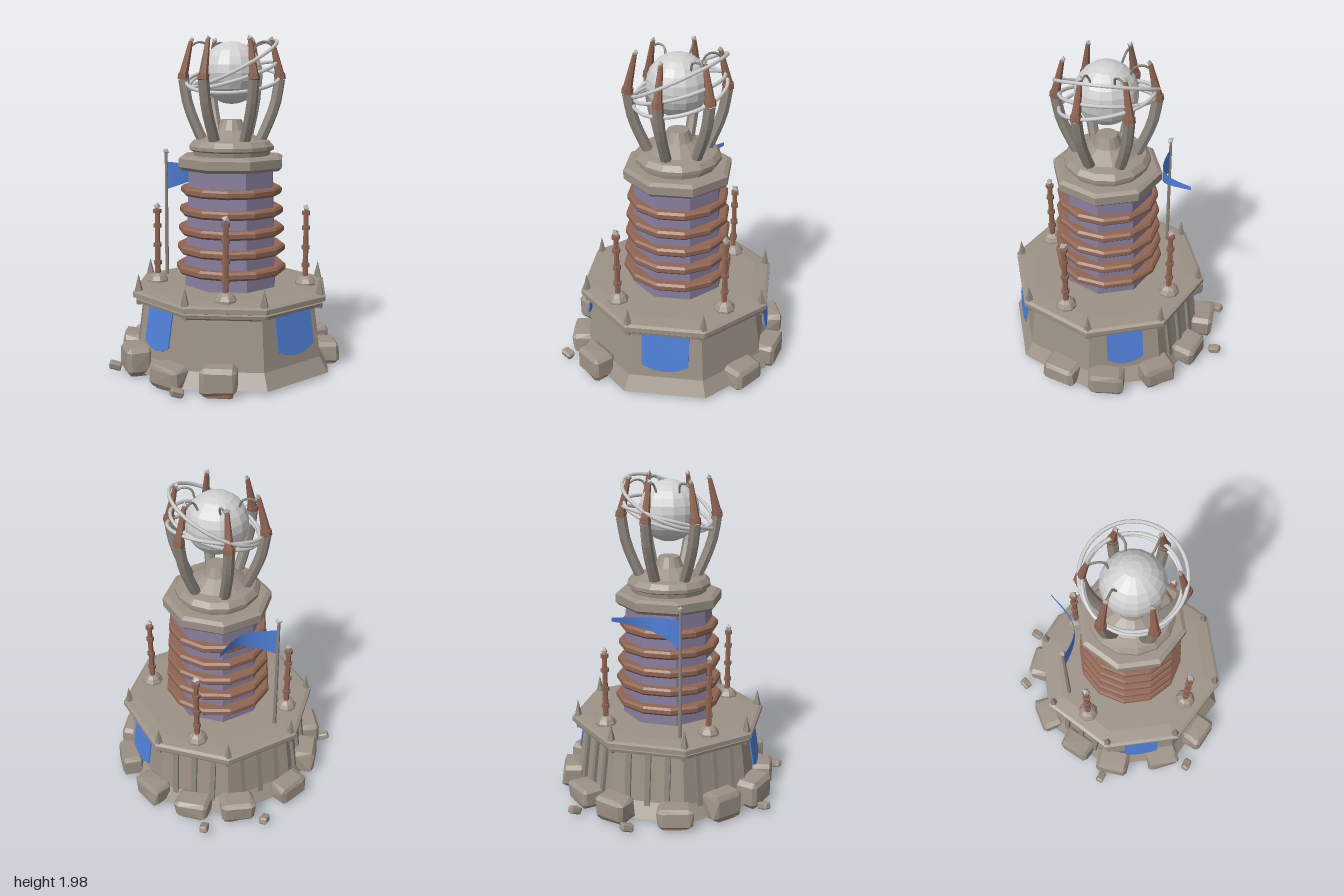
import * as THREE from 'three';
import { ConvexGeometry } from 'three/addons/geometries/ConvexGeometry.js';

const V = (x, y, z) => new THREE.Vector3(x, y, z);

export function createModel() {
  const mat = (name, color, side = THREE.FrontSide) => {
    const m = new THREE.MeshStandardMaterial({ color, side });
    m.name = name;
    return m;
  };
  const stone = mat('stone', 0x9c9186, THREE.DoubleSide);
  const darkStone = mat('dark stone', 0x8e867d);
  const copper = mat('copper', 0x8f6553);
  const purple = mat('purple wall', 0x897e9e);
  const blue = mat('blue cloth', 0x4f7fd6, THREE.DoubleSide);
  const silver = mat('silver', 0xcfcfcf);
  const crystal = mat('pale tip', 0xb2b0ac);

  const model = new THREE.Group();
  model.name = 'tower';
  const root = new THREE.Group(); // everything is laid out round the tower axis
  root.name = 'towerBody';
  root.position.set(0.02, 0, 0.083);
  model.add(root);

  let seed = 7;
  const rnd = () => (seed = (seed * 16807) % 2147483647) / 2147483647;

  const flat = (g) => {
    const f = g.index ? g.toNonIndexed() : g;
    f.computeVertexNormals();
    return f;
  };
  const add = (name, geo, material, parent = root) => {
    const m = new THREE.Mesh(geo, material);
    m.name = name;
    parent.add(m);
    return m;
  };
  // turned shape with flat facets; radii are measured to the flats
  const turned = (name, pts, sides, material, parent = root) => {
    const k = 1 / Math.cos(Math.PI / sides);
    const p = pts.map(([r, y]) => new THREE.Vector2(r * k, y));
    return add(name, flat(new THREE.LatheGeometry(p, sides, Math.PI / sides)), material, parent);
  };
  const rod = (name, a, b, r0, r1, sides, material, parent = root) => {
    const m = add(name, flat(new THREE.CylinderGeometry(r1, r0, a.distanceTo(b), sides)), material, parent);
    m.position.copy(a).lerp(b, 0.5);
    m.quaternion.setFromUnitVectors(V(0, 1, 0), b.clone().sub(a).normalize());
    return m;
  };
  const nugget = (name, p, r, h, parent = root) => {
    const m = add(name, flat(new THREE.OctahedronGeometry(1)), crystal, parent);
    m.scale.set(r, h, r * 0.8);
    m.position.copy(p);
    m.rotation.set(0.25, rnd() * 3, 0.2);
    return m;
  };

  // hollow octagonal base and stepped deck
  turned('baseWall', [[0.59, 0.03], [0.54, 0.12], [0.502, 0.42]], 8, stone);
  turned('deck', [[0, 0.405], [0.5, 0.405], [0.545, 0.425], [0.55, 0.445], [0.535, 0.45], [0.568, 0.46],
    [0.568, 0.487], [0.55, 0.497], [0.47, 0.505], [0, 0.508]], 8, stone);

  // spikes and little brackets at the deck corners
  for (let i = 0; i < 8; i++) {
    const a = (i + 0.5) * Math.PI / 4;
    const s = Math.sin(a), c = Math.cos(a);
    rod('deckSpike', V(s * 0.578, 0.485, c * 0.578), V(s * 0.578, 0.595, c * 0.578), 0.028, 0.001, 5, darkStone);
    const b = add('deckBracket', new THREE.BoxGeometry(0.03, 0.03, 0.03), darkStone);
    b.position.set(s * 0.575, 0.43, c * 0.575);
    b.rotation.y = a;
  }

  // upright ribs on the three back faces
  for (const a of [Math.PI * 0.75, Math.PI, Math.PI * 1.25]) {
    const face = new THREE.Group();
    face.name = 'ribbedFace';
    face.rotation.y = a;
    root.add(face);
    for (const x of [-0.12, 0, 0.12]) {
      const r = add('wallRib', new THREE.BoxGeometry(0.032, 0.31, 0.03), darkStone, face);
      r.position.set(x, 0.255, 0.528);
      r.rotation.x = -0.126;
    }
  }

  // hanging banners on the front and both sides
  for (const [a, w] of [[0, 0.14], [Math.PI / 2, 0.11], [-Math.PI / 2, 0.11]]) {
    const s = new THREE.Shape([[-w, 0], [-w, -0.195], [-w * 0.5, -0.225], [0, -0.235], [w * 0.5, -0.225],
      [w, -0.195], [w, 0]].map(([x, y]) => new THREE.Vector2(x, y)));
    const holder = new THREE.Group();
    holder.name = 'bannerHolder';
    holder.rotation.y = a;
    root.add(holder);
    const b = add('banner', new THREE.ExtrudeGeometry(s, { depth: 0.008, bevelEnabled: false }), blue, holder);
    b.position.set(0, 0.42, 0.53);
    b.rotation.x = -0.16;
  }

  // purple shaft with copper bands
  turned('shaft', [[0.268, 0.5], [0.246, 1.22]], 8, purple);
  [[0.61, 0.322], [0.73, 0.316], [0.845, 0.309], [0.96, 0.302], [1.08, 0.294]].forEach(([y, r]) =>
    turned('copperBand', [[r - 0.07, y - 0.025], [r - 0.012, y - 0.025], [r, y - 0.012], [r, y + 0.012],
      [r - 0.012, y + 0.025], [r - 0.07, y + 0.025]], 12, copper));

  // octagonal cap, round collar and pedestal
  turned('cap', [[0.24, 1.205], [0.285, 1.205], [0.304, 1.225], [0.304, 1.275], [0.28, 1.29], [0, 1.295]], 8, stone);
  turned('collar', [[0.225, 1.285], [0.23, 1.315], [0.25, 1.325], [0.25, 1.345], [0.225, 1.375], [0.17, 1.385],
    [0.085, 1.44], [0.06, 1.5], [0, 1.5]], 14, stone);

  // globe and its tilted hoops
  const globe = add('globe', flat(new THREE.SphereGeometry(0.184, 16, 12)), silver);
  globe.position.set(0, 1.775, 0);
  [[0.29, 1.83, V(-0.5, 1, -0.2)], [0.275, 1.735, V(-0.22, 1, 0.16)], [0.265, 1.76, V(-0.3, 1, -0.1)]]
    .forEach(([r, y, n]) => {
      const h = add('hoop', new THREE.TorusGeometry(r, 0.011, 6, 40), silver);
      h.position.set(0.01, y, 0);
      h.quaternion.setFromUnitVectors(V(0, 0, 1), n.normalize());
    });

  // six bent arms round the globe
  for (let i = 0; i < 6; i++) {
    const arm = new THREE.Group();
    arm.name = 'arm';
    arm.rotation.y = THREE.MathUtils.degToRad(15 - i * 60);
    root.add(arm);
    const path = new THREE.CatmullRomCurve3([V(0.165, 1.36, 0), V(0.215, 1.47, 0), V(0.262, 1.6, 0), V(0.285, 1.74, 0)]);
    add('lowerArm', flat(new THREE.TubeGeometry(path, 6, 0.033, 7)), darkStone, arm);
    rod('armKnuckle', V(0.289, 1.735, 0), V(0.283, 1.77, 0), 0.034, 0.034, 7, copper, arm);
    rod('upperArm', V(0.285, 1.765, 0), V(0.24, 1.96, 0), 0.028, 0.013, 7, copper, arm);
    nugget('armTip', V(0.235, 1.968, 0), 0.019, 0.022, arm);
    if (i !== 2 && i !== 3) {
      const hook = new THREE.CatmullRomCurve3([V(0.245, 1.93, 0), V(0.2, 1.955, 0.01), V(0.155, 1.945, 0.02), V(0.13, 1.89, 0.01)]);
      add('armHook', new THREE.TubeGeometry(hook, 8, 0.007, 5), darkStone, arm);
    }
  }

  // four copper rods on domed feet
  for (const x of [-0.32, 0.32]) for (const z of [-0.32, 0.32]) {
    const post = new THREE.Group();
    post.name = 'cornerRod';
    post.position.set(x, 0, z);
    root.add(post);
    turned('rodFoot', [[0.06, 0.495], [0.06, 0.515], [0.045, 0.54], [0.025, 0.555], [0, 0.555]], 8, stone, post);
    rod('rodShaft', V(0, 0.54, 0), V(0, 0.95, 0), 0.018, 0.015, 6, copper, post);
    for (const y of [0.62, 0.73, 0.85, 0.94]) rod('rodCollar', V(0, y - 0.012, 0), V(0, y + 0.012, 0), 0.025, 0.025, 6, copper, post);
    nugget('rodTip', V(0, 0.97, 0), 0.027, 0.026, post);
  }

  // flagpole with a waving pennant
  const px = -0.17, pz = -0.425;
  rod('flagPole', V(px, 0.5, pz), V(px, 1.28, pz), 0.012, 0.009, 6, darkStone);
  nugget('poleTip', V(px, 1.29, pz), 0.026, 0.02);
  const flag = new THREE.PlaneGeometry(1, 1, 10, 1);
  const fp = flag.attributes.position;
  for (let i = 0; i < fp.count; i++) {
    const t = fp.getX(i) + 0.5;
    const top = 1.225 - 0.02 * Math.sin(t * Math.PI), low = 1.05 + 0.15 * t;
    fp.setXYZ(i, px + 0.4 * t, fp.getY(i) > 0 ? top : low, pz + 0.085 * Math.sin(t * Math.PI * 1.1));
  }
  flag.computeVertexNormals();
  add('pennant', flag, blue);

  // chamfered boulders round the foot
  const boulder = (w, h, d) => {
    const pts = [];
    for (const sx of [-1, 1]) for (const sy of [-1, 1]) for (const sz of [-1, 1])
      for (const [a, b, c] of [[1, 0.68, 0.72], [0.76, 1, 0.7], [0.76, 0.66, 1]]) {
        const j = 0.9 + rnd() * 0.15;
        pts.push(V(sx * a * w * j / 2, sy * b * h * j / 2, sz * c * d * j / 2));
      }
    return new ConvexGeometry(pts);
  };
  [[-0.16, -0.51], [0.21, -0.51], [-0.41, -0.33], [0.44, -0.36], [0.6, -0.11], [-0.56, -0.11],
    [-0.565, 0.23], [0.61, 0.21], [-0.43, 0.5], [0.47, 0.46]].forEach(([x, z], i) => {
    const cx = x - 0.02, cz = z - 0.083, turn = Math.atan2(cx, cz);
    const h = 0.125 + 0.04 * (i % 3) / 2;
    const b = add('boulder', boulder(0.215, h, 0.145), stone);
    b.position.set(cx, 0.02 + h / 2, cz);
    b.rotation.set(0, turn + (rnd() - 0.5) * 0.2, 0);
    const u = add('boulderUnderside', boulder(0.16, 0.03, 0.1), copper);
    u.position.set(cx, 0.022, cz);
    u.rotation.y = turn;
  });

  // loose chips on the ground
  [[-0.645, -0.205], [-0.64, 0.39], [0.095, -0.65], [0.455, -0.53]].forEach(([x, z]) => {
    const c = add('stoneChip', boulder(0.075, 0.045, 0.05), stone);
    c.position.set(x - 0.02, 0.047, z - 0.083);
    c.rotation.set(0.2, rnd() * 3, 0.2);
  });
  return model;
}
